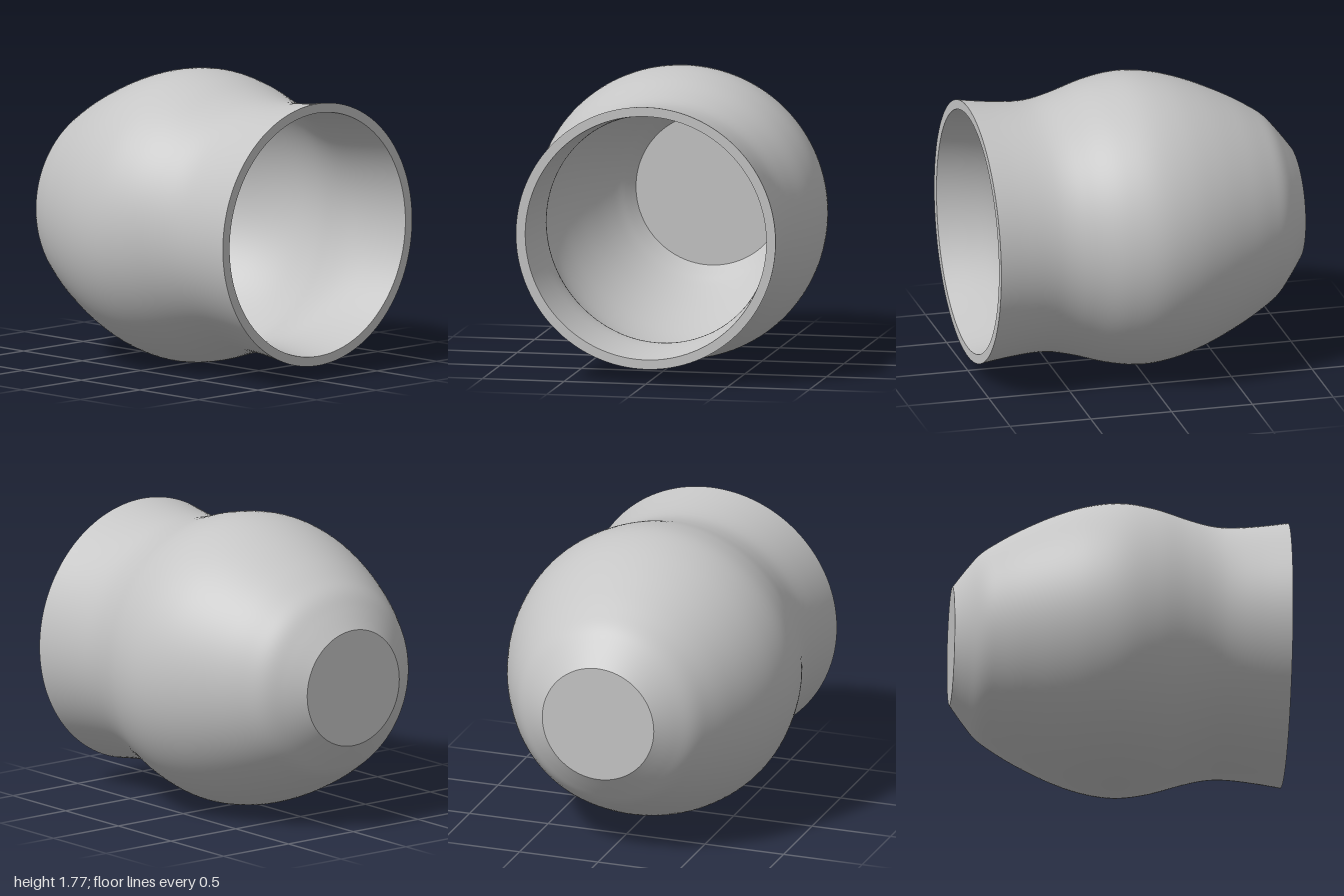
import * as THREE from 'three';

const SEGMENTS = 128;
const AXIS_HEIGHT = 0.885;

// Smooth profile of [radius, z] pairs, running from back to front
const profile = (pairs) =>
  new THREE.SplineCurve(pairs.map(([r, z]) => new THREE.Vector2(r, z))).getPoints(72);

export function createModel() {
  const group = new THREE.Group();
  group.name = 'jar';
  const clay = new THREE.MeshStandardMaterial({ color: 0xc6c6c6 });
  clay.name = 'plain grey';

  // Every part is turned around the z axis
  const turn = (name, points) => {
    const geometry = new THREE.LatheGeometry(points, SEGMENTS).rotateX(Math.PI / 2);
    const mesh = new THREE.Mesh(geometry, clay);
    mesh.name = name;
    mesh.position.y = AXIS_HEIGHT;
    group.add(mesh);
  };
  const v = (r, z) => new THREE.Vector2(r, z);

  // Outside: narrow foot, round belly, pinched neck, flared mouth
  turn('outerWall', profile([
    [0.355, -1], [0.462, -0.92], [0.555, -0.84], [0.625, -0.74], [0.705, -0.6], [0.797, -0.4],
    [0.861, -0.2], [0.885, 0], [0.857, 0.2], [0.797, 0.4], [0.764, 0.54], [0.757, 0.66],
    [0.77, 0.82], [0.795, 1],
  ]));

  // Inside: follows the outer wall down to a flat floor
  turn('innerWall', profile([
    [0.46, -0.88], [0.505, -0.82], [0.565, -0.74], [0.646, -0.6], [0.738, -0.4],
    [0.802, -0.2], [0.826, 0], [0.799, 0.2], [0.739, 0.4], [0.706, 0.54], [0.7, 0.66],
    [0.714, 0.82], [0.738, 1],
  ]).reverse());

  // Flat ring and discs
  turn('rim', [v(0.795, 1), v(0.738, 1)]);
  turn('innerFloor', [v(0.46, -0.88), v(0, -0.88)]);
  turn('base', [v(0, -1), v(0.355, -1)]);

  return group;
}
